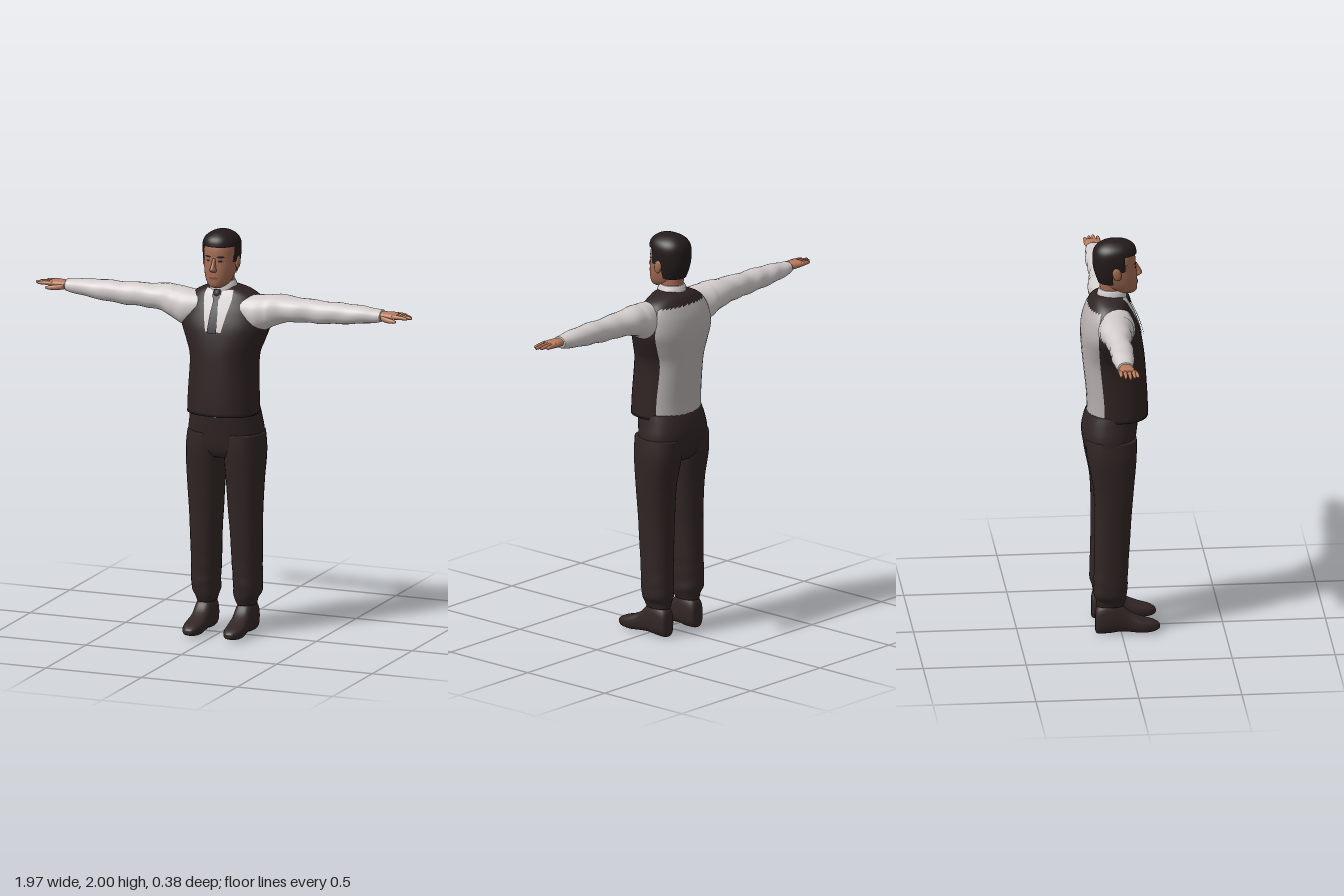
import * as THREE from 'three';

const mat = (name, color, side = THREE.FrontSide) => {
  const m = new THREE.MeshStandardMaterial({ color, side });
  m.name = name;
  return m;
};

// Smoothly fill in rows between the given sections [t, a0, a1, b0, b1]
function dense(sections, sub = 4) {
  const rows = [], n = sections.length;
  for (let k = 0; k < n - 1; k++) {
    const [p, q, r, s] = [k - 1, k, k + 1, k + 2].map(i => sections[Math.min(n - 1, Math.max(0, i))]);
    for (let j = 0; j < sub; j++) {
      const t = j / sub;
      rows.push(q.map((v, c) => v + 0.5 * t * (r[c] - p[c] + t * (2 * p[c] - 5 * v + 4 * r[c] - s[c]
        + t * (3 * (v - r[c]) + s[c] - p[c])))));
    }
  }
  rows.push(sections[n - 1].slice());
  return rows;
}

const pow = (v, e) => Math.sign(v) * Math.abs(v) ** e;
// Axis order: (t, a, b) to (x, y, z)
const place = {
  y: (t, a, b) => [a, t, b],
  x: (t, a, b) => [t, b, a],
  z: (t, a, b) => [b, a, t],
};

// Closed rounded skin over sections; pick() gives the material index of a face, or -1 for none
function loft(axis, sections, { seg = 24, sub = 4, e = 0.85, ripple = null, pick = () => 0 } = {}) {
  const rows = dense(sections, sub), pos = [], faces = [[], []], P = place[axis];
  rows.forEach(([t, a0, a1, b0, b1]) => {
    for (let i = 0; i < seg; i++) {
      const th = i / seg * Math.PI * 2, k = 1 + (ripple ? ripple(t, th) : 0);
      pos.push(...P(t, (a0 + a1) / 2 + (a1 - a0) / 2 * k * pow(Math.cos(th), e),
        (b0 + b1) / 2 + (b1 - b0) / 2 * k * pow(Math.sin(th), e)));
    }
  });
  const add = (i, ...tri) => {
    const c = [0, 1, 2].map(d => tri.reduce((s, v) => s + pos[v * 3 + d], 0) / 3);
    const m = pick(c, i);
    if (m >= 0) faces[m].push(...tri);
  };
  const last = rows.length - 1;
  for (let j = 0; j < last; j++) for (let i = 0; i < seg; i++) {
    const a = j * seg + i, b = j * seg + (i + 1) % seg;
    add(i, a, a + seg, b);
    add(i, b, a + seg, b + seg);
  }
  for (const j of [0, last]) {
    const [t, a0, a1, b0, b1] = rows[j], c = pos.length / 3;
    pos.push(...P(t, (a0 + a1) / 2, (b0 + b1) / 2));
    for (let i = 0; i < seg; i++) {
      const a = j * seg + i, b = j * seg + (i + 1) % seg;
      j ? add(i, c, b, a) : add(i, c, a, b);
    }
  }
  const g = new THREE.BufferGeometry();
  g.setAttribute('position', new THREE.Float32BufferAttribute(pos, 3));
  g.setIndex([...faces[0], ...faces[1]]);
  g.addGroup(0, faces[0].length, 0);
  if (faces[1].length) g.addGroup(faces[0].length, faces[1].length, 1);
  g.computeVertexNormals();
  return g;
}

// Thin plate lying on the front of a y loft; outline rows are [y, xLeft, xRight], going up
function plate(outline, sections, offset, e = 0.85) {
  const body = dense(sections), pos = [], idx = [], nx = 8, rows = dense(outline);
  const front = (x, y) => {
    let k = 0;
    while (k < body.length - 2 && body[k + 1][0] < y) k++;
    const f = (y - body[k][0]) / (body[k + 1][0] - body[k][0]);
    const [, a0, a1, b0, b1] = body[k].map((v, c) => v + (body[k + 1][c] - v) * f);
    const u = Math.min(1, Math.abs((x - (a0 + a1) / 2) / ((a1 - a0) / 2)));
    return (b0 + b1) / 2 + (b1 - b0) / 2 * Math.sqrt(1 - u ** (2 / e)) ** e + offset;
  };
  rows.forEach(([y, l, r], j) => {
    for (let i = 0; i <= nx; i++) {
      const x = l + (r - l) * i / nx, a = j * (nx + 1) + i;
      pos.push(x, y, front(x, y));
      if (i < nx && j < rows.length - 1) idx.push(a, a + 1, a + nx + 2, a, a + nx + 2, a + nx + 1);
    }
  });
  const g = new THREE.BufferGeometry();
  g.setAttribute('position', new THREE.Float32BufferAttribute(pos, 3));
  g.setIndex(idx);
  g.computeVertexNormals();
  return g;
}

// Mirror across x = centre, keeping faces outward
function mirror(geo, centre) {
  const g = geo.clone().scale(-1, 1, 1).translate(2 * centre, 0, 0), ix = g.index;
  for (let i = 0; i < ix.count; i += 3) {
    const b = ix.getX(i + 1);
    ix.setX(i + 1, ix.getX(i + 2));
    ix.setX(i + 2, b);
  }
  g.computeVertexNormals();
  return g;
}

export function createModel() {
  const root = new THREE.Group();
  root.name = 'manInWaistcoat';
  const D = THREE.DoubleSide;
  const vestCloth = mat('vestCloth', 0x2e2322), panelCloth = mat('vestBackCloth', 0xb6b0af);
  const trouserCloth = mat('trouserCloth', 0x302524), leather = mat('shoeLeather', 0x332726);
  const shirt = mat('shirtCloth', 0xd2cccb, D), tieCloth = mat('tieCloth', 0x262026, D);
  const face = mat('faceSkin', 0xa06a52), hand = mat('handSkin', 0xb97b5d);
  const hairMat = mat('hair', 0x241b1b, D), lip = mat('lips', 0x7d4a3d, D);
  const add = (name, geo, m) => {
    const mesh = new THREE.Mesh(geo, m);
    mesh.name = name;
    root.add(mesh);
  };
  const pair = (name, geo, m, centre) => {
    add('right' + name, geo, m);
    add('left' + name, mirror(geo, centre), m);
  };

  // Waistcoat with a pale back panel
  const vest = [[1.1, -.166, .186, -.158, .138], [1.2, -.163, .182, -.16, .135], [1.37, -.158, .176, -.178, .124],
    [1.45, -.182, .202, -.185, .115], [1.53, -.212, .23, -.188, .1], [1.6, -.2, .218, -.178, .076],
    [1.65, -.178, .196, -.16, .054], [1.685, -.145, .163, -.142, .038], [1.708, -.1, .115, -.125, .025],
    [1.722, -.06, .07, -.1, .01]];
  add('waistcoat', loft('y', vest, { seg: 40, pick: (p, i) => (i >= 23 && i <= 36 && p[1] < 1.665 && p[1] > 1.102 ? 1 : 0) }),
    [vestCloth, panelCloth]);
  add('shirtFront', plate([[1.515, -.04, .042], [1.6, -.058, .06], [1.67, -.072, .075], [1.71, -.068, .072]], vest, .004), shirt);
  add('tie', plate([[1.51, -.028, .022], [1.6, -.022, .017], [1.662, -.016, .01], [1.68, -.025, .017], [1.71, -.022, .013]],
    vest, .012), tieCloth);

  // Trousers
  const hips = [[.88, -.12, .14, -.14, .05], [.92, -.172, .188, -.166, .07], [1, -.18, .195, -.184, .08],
    [1.07, -.17, .186, -.176, .088], [1.125, -.162, .18, -.155, .092]];
  add('trouserSeat', loft('y', hips, { seg: 32 }), trouserCloth);
  add('shirtTail', plate([[1.085, .0, .01], [1.112, -.03, .035]], hips, .006), shirt);
  const leg = [[.14, -.138, -.05, -.118, .01], [.17, -.146, -.04, -.125, .02], [.2, -.163, -.032, -.133, .027],
    [.25, -.167, -.032, -.135, .03], [.35, -.167, -.026, -.132, .034], [.5, -.17, -.02, -.13, .044],
    [.6, -.173, -.012, -.13, .05], [.75, -.181, -.003, -.137, .062], [.9, -.187, .01, -.165, .075],
    [1, -.178, .01, -.17, .076]];
  pair('TrouserLeg', loft('y', leg, {
    sub: 6, ripple: (y, th) => (y < .45 ? .03 * Math.sin(y * 75 + 2 * Math.sin(th)) * (1 - y / .45) : 0),
  }), trouserCloth, .01);

  // Shoes
  const shoe = [[-.126, .01, .1, -.115, -.077], [-.115, 0, .14, -.135, -.057], [-.06, 0, .17, -.142, -.047],
    [-.01, .006, .155, -.14, -.05], [.04, .004, .105, -.14, -.05], [.1, 0, .075, -.147, -.048],
    [.15, .004, .06, -.14, -.055], [.178, .012, .046, -.122, -.07], [.187, .02, .036, -.108, -.084]];
  pair('Shoe', loft('z', shoe, { e: .75 }), leather, .01);

  // Sleeves, wrinkled lightly; sections are [x, z0, z1, y0, y1]
  const sleeve = [[.1, -.1, .05, 1.54, 1.68], [.18, -.115, .06, 1.508, 1.688], [.23, -.125, .05, 1.52, 1.692],
    [.3, -.125, .034, 1.555, 1.694], [.4, -.113, .022, 1.57, 1.688], [.5, -.1, .012, 1.572, 1.684],
    [.6, -.1, .014, 1.58, 1.683], [.7, -.1, .006, 1.59, 1.68], [.79, -.09, -.004, 1.603, 1.672], [.825, -.085, -.01, 1.612, 1.668]];
  const sleeveGeo = loft('x', sleeve, {
    sub: 6, e: .95, ripple: (x, th) => (x > .25 ? .035 * Math.sin(x * 48 + 2.2 * Math.sin(th + x * 5)) : 0),
  });
  add('leftSleeve', sleeveGeo, shirt);
  add('rightSleeve', mirror(sleeveGeo, 0), shirt);

  // Hands: palm, four fingers and a thumb
  const handParts = [['Palm', loft('x', [[.8, -.072, -.022, 1.622, 1.66], [.84, -.08, -.012, 1.624, 1.662],
    [.88, -.09, -.006, 1.628, 1.662], [.91, -.088, -.008, 1.632, 1.658]], { seg: 16 })]];
  [[.95, -.079], [.972, -.058], [.984, -.037], [.968, -.016]].forEach(([tip, z], k) => {
    handParts.push(['Finger' + (k + 1), loft('x', [[.89, z - .01, z + .01, 1.634, 1.657], [.93, z - .009, z + .009, 1.636, 1.655],
      [tip - .008, z - .007, z + .007, 1.636, 1.65], [tip, z - .003, z + .003, 1.639, 1.646]], { seg: 10, sub: 3 })]);
  });
  handParts.push(['Thumb', loft('x', [[.83, -.04, -.01, 1.62, 1.65], [.865, -.022, .006, 1.617, 1.643],
    [.9, -.006, .013, 1.619, 1.638], [.918, .002, .01, 1.624, 1.633]], { seg: 10, sub: 3 })]);
  handParts.forEach(([name, geo]) => {
    add('left' + name, geo, hand);
    add('right' + name, mirror(geo, 0), hand);
  });

  // Neck and collar
  add('neck', loft('y', [[1.68, -.06, .06, -.095, .02], [1.73, -.058, .052, -.095, .025], [1.8, -.058, .05, -.098, .03]], { e: 1 }), face);
  add('collar', loft('y', [[1.68, -.078, .082, -.118, .035], [1.705, -.073, .073, -.112, .036], [1.735, -.066, .06, -.106, .032],
    [1.748, -.06, .054, -.1, .02]], { e: 1 }), shirt);
  add('tieKnot', loft('y', [[1.668, -.016, .008, .02, .052], [1.69, -.026, .017, .015, .052], [1.712, -.021, .012, .01, .044]],
    { seg: 12 }), tieCloth);

  // Head
  const head = [[1.726, -.03, .02, .02, .068], [1.738, -.05, .04, -.04, .082], [1.765, -.068, .058, -.075, .086],
    [1.81, -.08, .07, -.1, .085], [1.86, -.084, .074, -.113, .079], [1.92, -.085, .075, -.118, .074],
    [1.965, -.068, .058, -.095, .052], [1.988, -.03, .02, -.05, .01]];
  add('head', loft('y', head, { seg: 32, e: .92 }), face);
  const hairShape = [[1.77, -.068, .058, -.1, .05], [1.82, -.086, .076, -.118, .07], [1.87, -.093, .083, -.13, .078],
    [1.93, -.095, .085, -.13, .082], [1.965, -.082, .072, -.113, .072], [1.988, -.052, .042, -.08, .042], [2, -.016, .006, -.04, .006]];
  add('hair', loft('y', hairShape, {
    seg: 48, sub: 6, e: .92,
    pick: ([, y, z]) => (y > 1.932 || (y > 1.855 && z < .022) || (y > 1.785 && z < -.04) ? 0 : -1),
  }), hairMat);
  add('nose', loft('y', [[1.808, -.02, .01, .07, .09], [1.82, -.022, .012, .07, .109], [1.835, -.017, .007, .065, .106],
    [1.875, -.012, .002, .06, .083]], { seg: 12, e: 1 }), face);
  const ear = new THREE.SphereGeometry(1, 14, 10).scale(.011, .034, .022).rotateX(-.2).translate(-.09, 1.845, -.02);
  pair('Ear', ear, face, -.005);

  // Face details
  const spot = (x, y, w, h) => plate([[y - h, x - w * .5, x + w * .5], [y, x - w, x + w], [y + h, x - w * .6, x + w * .6]], head, .003, .92);
  pair('Eye', spot(-.037, 1.862, .012, .004), hairMat, -.005);
  pair('Brow', spot(-.038, 1.882, .019, .004), hairMat, -.005);
  add('mouth', spot(-.005, 1.778, .024, .005), lip);

  return root;
}
